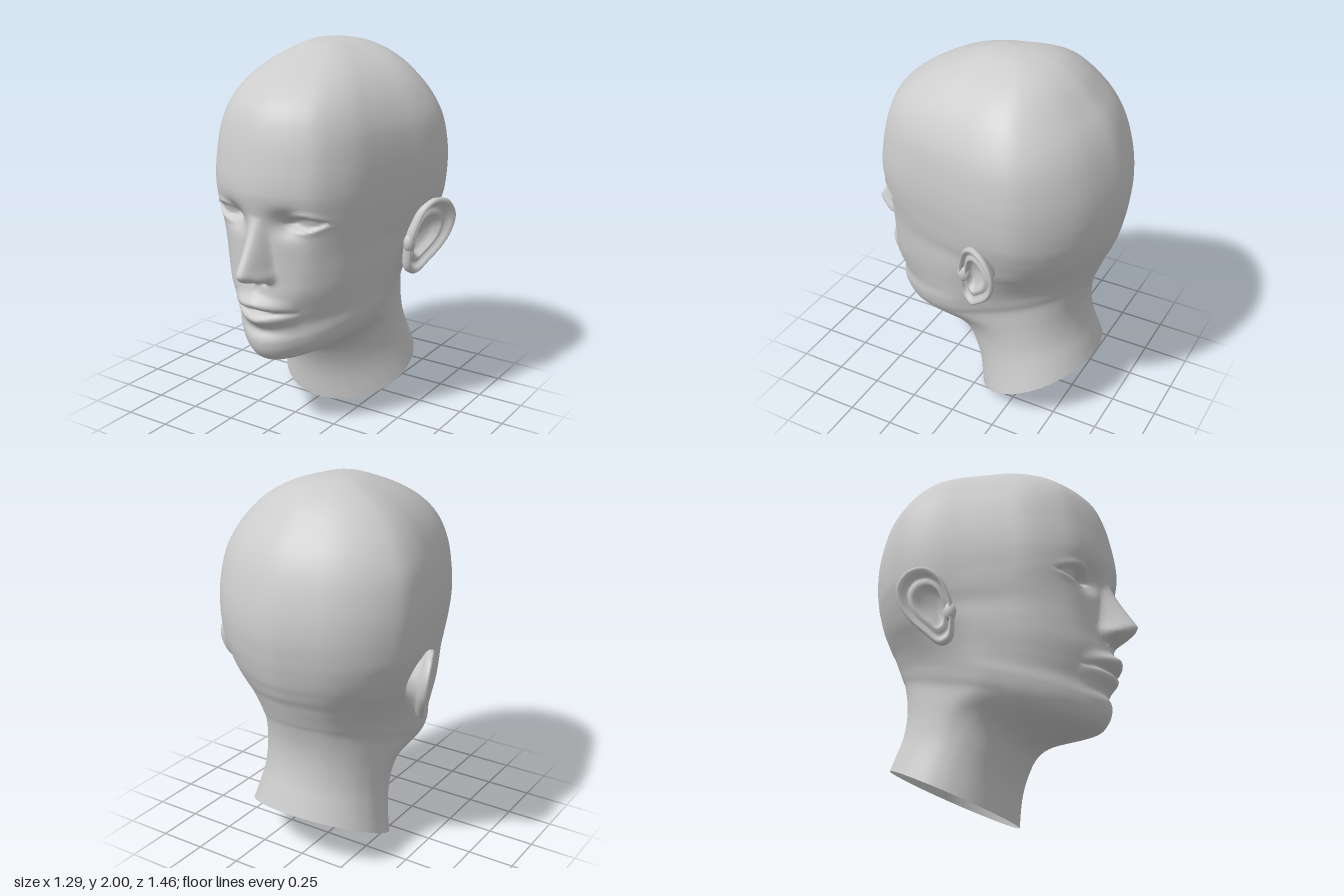
import * as THREE from 'three';

const { lerp, clamp } = THREE.MathUtils;
const material = new THREE.MeshStandardMaterial({ color: 0xcccccc, side: THREE.DoubleSide });
const bump = (dx, dy) => Math.exp(-dx * dx - dy * dy);

// Skin a list of closed rings (arrays of Vector3) with smooth normals
function loft(rings) {
  const n = rings[0].length, pos = [], index = [];
  rings.forEach((ring) => ring.forEach((p) => pos.push(p.x, p.y, p.z)));
  for (let i = 0; i < rings.length - 1; i++) {
    for (let j = 0; j < n; j++) {
      const k = (j + 1) % n, a = i * n + j, b = i * n + k;
      index.push(a, b, a + n, b, b + n, a + n);
    }
  }
  const geo = new THREE.BufferGeometry();
  geo.setAttribute('position', new THREE.Float32BufferAttribute(pos, 3));
  geo.setIndex(index);
  geo.computeVertexNormals();
  return geo;
}

// Smooth interpolation between rows of numbers
function sampleRows(rows, i, t) {
  const at = (k) => rows[clamp(k, 0, rows.length - 1)];
  return rows[i].map((_, c) => {
    const p0 = at(i - 1)[c], p1 = at(i)[c], p2 = at(i + 1)[c], p3 = at(i + 2)[c];
    const m1 = (p2 - p0) / 2, m2 = (p3 - p1) / 2, d = p2 - p1;
    return p1 + t * (m1 + t * (3 * d - 2 * m1 - m2 + t * (m1 + m2 - 2 * d)));
  });
}

// Piecewise linear lookup in [key, value] pairs
function lookup(table, v) {
  for (let i = 1; i < table.length; i++) {
    const [a, b] = [table[i - 1], table[i]];
    if (v >= a[0] && v <= b[0]) return lerp(a[1], b[1], (v - a[0]) / (b[0] - a[0]));
  }
  return 0;
}

// Half outlines seen from above: depth from back (0) to front (1), relative width
const depth = [0, 0.015, 0.05, 0.1, 0.175, 0.27, 0.4, 0.55, 0.68, 0.78, 0.86, 0.925, 0.965, 0.99, 1];
const outlines = [
  [0, 0.22, 0.48, 0.68, 0.86, 0.98, 0.985, 0.9, 0.82, 0.75, 0.65, 0.52, 0.35, 0.17, 0], // skull
  [0, 0.24, 0.46, 0.62, 0.77, 0.88, 0.96, 1, 0.9, 0.76, 0.6, 0.42, 0.28, 0.14, 0], // jaw
  depth.map((u) => 2 * Math.sqrt(u * (1 - u))), // neck
];

// Rings from crown to neck: front y, front z, back y, back z, half width, outline
const headRows = [
  [2, -0.13, 2, -0.13, 0, 0],
  [1.99, 0, 1.99, -0.25, 0.1, 0],
  [1.96, 0.1, 1.96, -0.36, 0.2, 0],
  [1.9, 0.25, 1.9, -0.455, 0.315, 0],
  [1.82, 0.39, 1.82, -0.535, 0.41, 0],
  [1.72, 0.5, 1.72, -0.62, 0.485, 0],
  [1.6, 0.555, 1.6, -0.68, 0.54, 0],
  [1.45, 0.59, 1.45, -0.722, 0.562, 0],
  [1.32, 0.605, 1.32, -0.735, 0.562, 0],
  [1.2, 0.587, 1.2, -0.725, 0.55, 0],
  [1.1, 0.572, 1.12, -0.71, 0.53, 0.1],
  [1, 0.57, 1.06, -0.695, 0.505, 0.15],
  [0.88, 0.575, 1.02, -0.68, 0.485, 0.3],
  [0.78, 0.585, 0.98, -0.665, 0.46, 0.5],
  [0.68, 0.57, 0.94, -0.645, 0.435, 0.7],
  [0.6, 0.555, 0.9, -0.63, 0.415, 0.9],
  [0.52, 0.565, 0.86, -0.615, 0.4, 1],
  [0.45, 0.54, 0.82, -0.6, 0.385, 1],
  [0.405, 0.47, 0.78, -0.585, 0.365, 1],
  [0.398, 0.25, 0.68, -0.563, 0.345, 1.4],
  [0.36, 0.14, 0.58, -0.56, 0.335, 1.8],
  [0.27, 0.077, 0.48, -0.575, 0.337, 2],
  [0.15, 0.035, 0.4, -0.6, 0.355, 2],
  [0, 0.013, 0.31, -0.63, 0.385, 2],
];

const noseHeight = [[0.855, 0], [0.875, 0.075], [0.895, 0.135], [0.925, 0.158], [0.96, 0.14], [1.17, 0.015], [1.2, 0]];

// Forward offset of the face at a point: sockets, eyes, nose and lips
function faceRelief(x, y) {
  const ax = Math.abs(x);
  let z = -0.06 * bump((ax - 0.16) / 0.075, (y - 1.17) / 0.06);
  // Eye opening with a raised upper lid
  const s = (ax - 0.23) / 0.115;
  if (Math.abs(s) < 1) {
    const arch = 1 - s * s, mid = 1.172 + 0.01 * s;
    const upper = mid + 0.042 * arch, lower = mid - 0.035 * arch;
    z -= 0.024 * clamp(Math.min(upper - y, y - lower) / 0.012, 0, 1);
    z += 0.012 * arch * bump(0, (y - upper - 0.01) / 0.014);
    z += 0.006 * arch * bump(0, (y - lower + 0.01) / 0.014);
  }
  // Nose, nostril wings and nostrils
  const w = lerp(0.1, 0.05, clamp((y - 0.9) / 0.29, 0, 1));
  z += lookup(noseHeight, y) * Math.pow(Math.max(0, 1 - (ax / w) ** 2), 1.3);
  z += 0.025 * bump((ax - 0.075) / 0.025, (y - 0.9) / 0.03);
  z -= 0.04 * bump((ax - 0.04) / 0.018, (y - 0.868) / 0.012);
  // Lips, parting line and the groove above the chin
  const lip = Math.max(0, 1 - (x / 0.19) ** 2);
  z += lip * (0.05 * bump(0, (y - 0.752 + 0.15 * ax) / 0.034) + 0.04 * bump(0, (y - 0.655 - 0.1 * ax) / 0.034));
  z -= Math.sqrt(lip) * 0.028 * bump(0, (y - 0.702) / 0.012);
  z -= 0.012 * bump(x / 0.12, (y - 0.585) / 0.025);
  z -= 0.008 * bump(x / 0.014, (y - 0.82) / 0.03);
  return z;
}

function headRing([yf, zf, yb, zb, width, kind]) {
  const k = clamp(kind, 0, 2), lo = Math.min(1, Math.floor(k));
  const half = depth.map((u, i) => new THREE.Vector3(
    width * lerp(outlines[lo][i], outlines[lo + 1][i], k - lo), lerp(yb, yf, u), lerp(zb, zf, u)));
  const other = half.slice(1, -1).reverse().map((p) => new THREE.Vector3(-p.x, p.y, p.z));
  const curve = new THREE.CatmullRomCurve3([...half, ...other], true, 'catmullrom', 0.5);
  const count = (half.length + other.length) * 8;
  return Array.from({ length: count }, (_, j) => {
    const p = curve.getPoint(j / count);
    if (p.z > 0.2) p.z += faceRelief(p.x, p.y);
    return p;
  });
}

function headGeometry() {
  const rings = [];
  for (let i = 0; i < headRows.length - 1; i++) {
    const steps = i >= 8 && i < 16 ? 10 : 4; // finer rings through the face
    for (let s = 0; s < steps; s++) rings.push(headRing(sampleRows(headRows, i, s / steps)));
  }
  rings.push(headRing(headRows[headRows.length - 1]));
  return loft(rings);
}

// Ear: one outline (z, y) repeated as rings of [scale, outward offset]
const earOutline = [
  [-0.19, 1.205], [-0.125, 1.16], [-0.09, 1.08], [-0.07, 1], [-0.07, 0.9], [-0.085, 0.82],
  [-0.135, 0.79], [-0.2, 0.845], [-0.27, 0.92], [-0.315, 1], [-0.325, 1.1], [-0.27, 1.185],
];
const earRings = [
  [0.6, -0.12], [0.7, -0.05], [0.9, -0.03], [0.98, -0.015], [1, 0.003], [0.96, 0.016], [0.89, 0.017],
  [0.82, 0.005], [0.76, -0.012], [0.68, -0.008], [0.6, 0.002], [0.53, -0.004], [0.46, -0.03], [0.3, -0.045], [0, -0.048],
];
const earX = (z, y) => 0.53 + 0.45 * (-z - 0.13) + 0.15 * (y - 1);

function earGeometry() {
  const curve = new THREE.CatmullRomCurve3(earOutline.map(([z, y]) => new THREE.Vector3(0, y, z)), true);
  const edge = curve.getPoints(48).slice(0, -1);
  return loft(earRings.map(([scale, out]) => edge.map((p) => {
    const z = lerp(-0.165, p.z, scale), y = lerp(1, p.y, scale);
    return new THREE.Vector3(earX(z, y) + out, y, z);
  })));
}

export function createModel() {
  const model = new THREE.Group();
  model.name = 'head';
  const add = (geo, name, parent = model) => {
    const mesh = new THREE.Mesh(geo, material);
    mesh.name = name;
    parent.add(mesh);
    return mesh;
  };
  add(headGeometry(), 'headAndNeck');

  // Ears, mirrored
  const earShape = earGeometry();
  const flap = new THREE.SphereGeometry(1, 16, 12);
  for (const side of [1, -1]) {
    const ear = new THREE.Group();
    ear.name = side > 0 ? 'leftEar' : 'rightEar';
    ear.scale.x = side;
    add(earShape, 'earShell', ear);
    const tragus = add(flap, 'tragus', ear);
    tragus.scale.set(0.03, 0.05, 0.035);
    tragus.position.set(0.495, 0.97, -0.09);
    model.add(ear);
  }
  return model;
}
